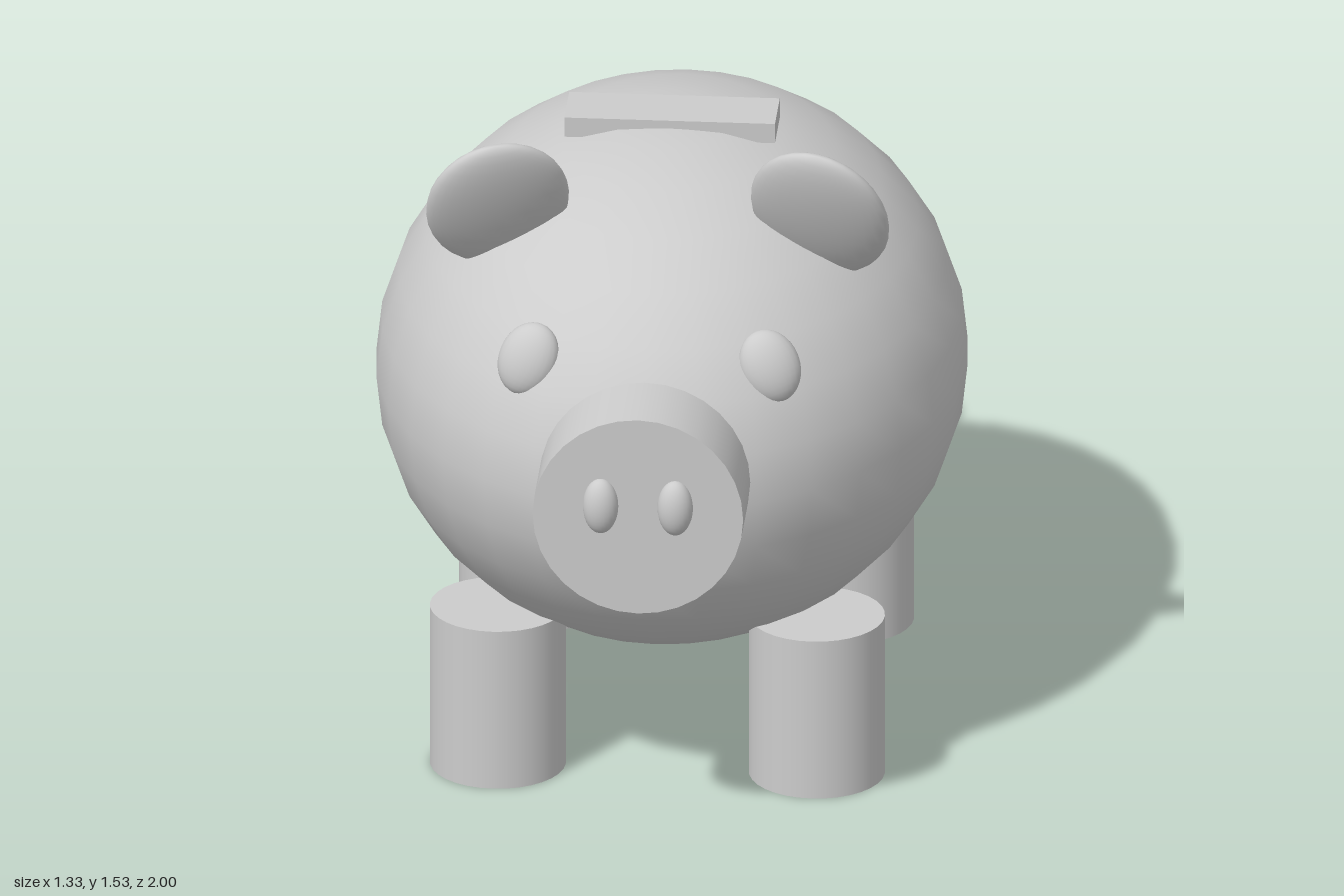
import * as THREE from 'three';

export function createModel() {
  const group = new THREE.Group();
  group.name = 'piggyBank';
  const grey = new THREE.MeshStandardMaterial({ color: 0xcccccc });
  grey.name = 'plainGrey';

  const add = (name, geometry, position, rotation = [0, 0, 0]) => {
    const mesh = new THREE.Mesh(geometry, grey);
    mesh.name = name;
    mesh.position.set(...position);
    mesh.rotation.set(...rotation);
    group.add(mesh);
    return mesh;
  };
  const ellipsoid = (rx, ry, rz, w = 32, h = 16) =>
    new THREE.SphereGeometry(1, w, h).scale(rx, ry, rz);

  // Egg-shaped body, round tail and coin slot plate
  add('body', ellipsoid(0.665, 0.595, 0.86), [0, 0.815, -0.04]);
  add('tail', ellipsoid(0.095, 0.095, 0.095), [0, 0.963, -0.905]);
  add('coinSlot', new THREE.BoxGeometry(0.474, 0.047, 0.143), [0, 1.401, -0.043]);

  // Snout disc
  add('snout', new THREE.CylinderGeometry(0.237, 0.237, 0.21, 32), [0, 0.865, 0.86], [Math.PI / 2, 0, 0]);

  // Mirrored pairs
  for (const [side, s] of [['left', 1], ['right', -1]]) {
    add(side + 'Nostril', ellipsoid(0.04, 0.066, 0.035, 24, 16), [s * 0.084, 0.89, 0.965]);
    add(side + 'Eye', ellipsoid(0.068, 0.085, 0.042, 24, 16), [s * 0.272, 1.098, 0.632], [-0.3, s * 0.2, s * 0.4]);
    add(side + 'Ear', ellipsoid(0.163, 0.2, 0.047), [s * 0.363, 1.353, 0.348], [0.48, s * -0.25, 0]);
    for (const [end, z] of [['Front', 0.39], ['Back', -0.47]]) {
      add(side + end + 'Leg', new THREE.CylinderGeometry(0.153, 0.153, 0.385, 32), [s * 0.359, 0.1925, z]);
    }
  }
  return group;
}
